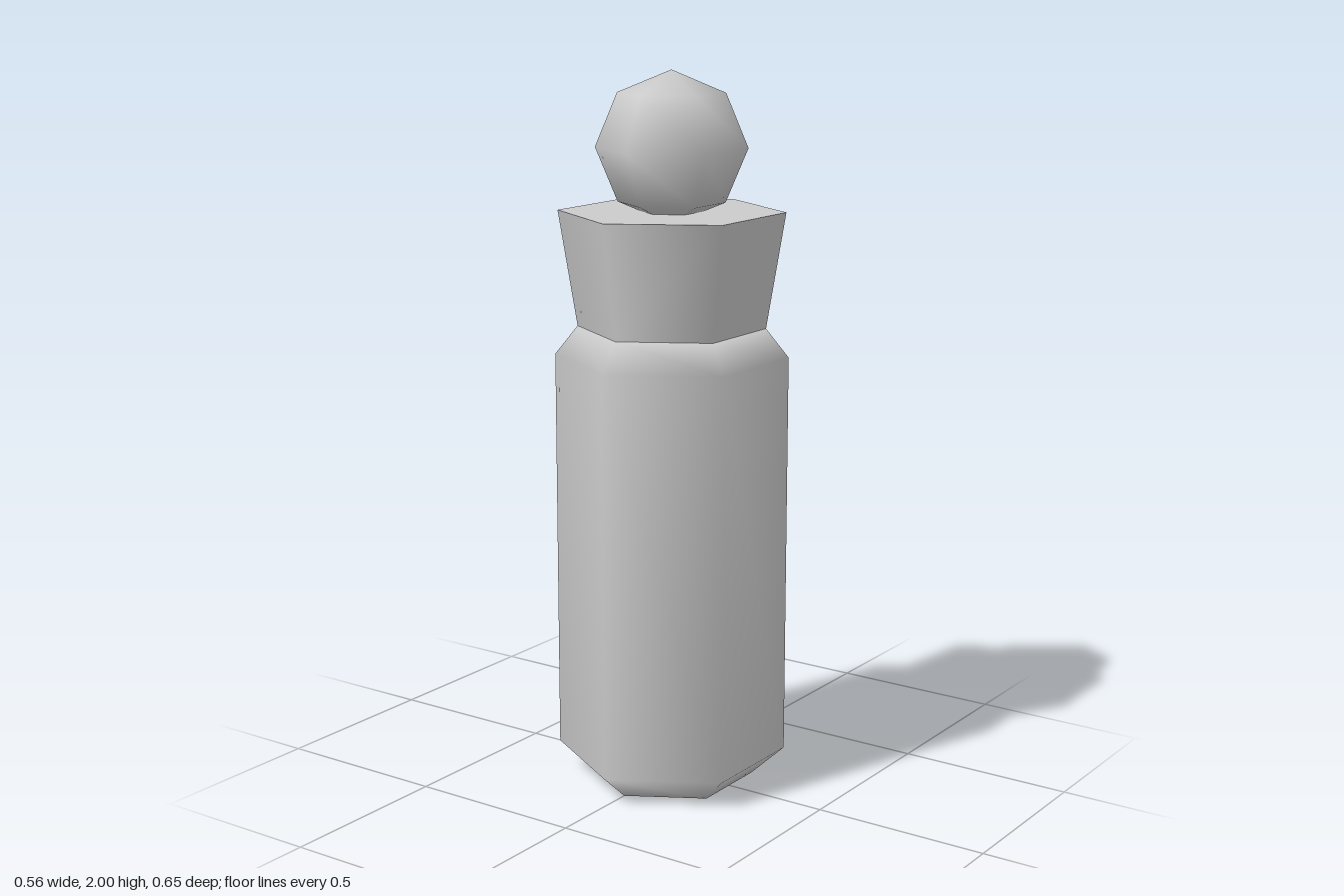
import * as THREE from 'three';

const SIDES = 6;

export function createModel() {
  const group = new THREE.Group();
  const material = new THREE.MeshStandardMaterial({ color: 0xcccccc });

  const add = (name, geometry, y) => {
    const mesh = new THREE.Mesh(geometry, material);
    mesh.name = name;
    mesh.position.y = y;
    group.add(mesh);
  };

  // Hexagonal body with chamfered base and shoulder, softly shaded
  const profile = [[0, 0], [0.231, 0], [0.323, 0.08], [0.323, 1.22], [0.26, 1.3], [0, 1.3]]
    .map(([r, y]) => new THREE.Vector2(r, y));
  add('body', new THREE.LatheGeometry(profile, SIDES), 0);

  // Flared collar with a flat top
  add('collar', new THREE.CylinderGeometry(0.312, 0.26, 0.32, SIDES), 1.46);

  // Low-poly ball stopper, sunk slightly into the collar
  add('stopper', new THREE.SphereGeometry(0.208, SIDES, 4, Math.PI / 2), 1.792);

  return group;
}
